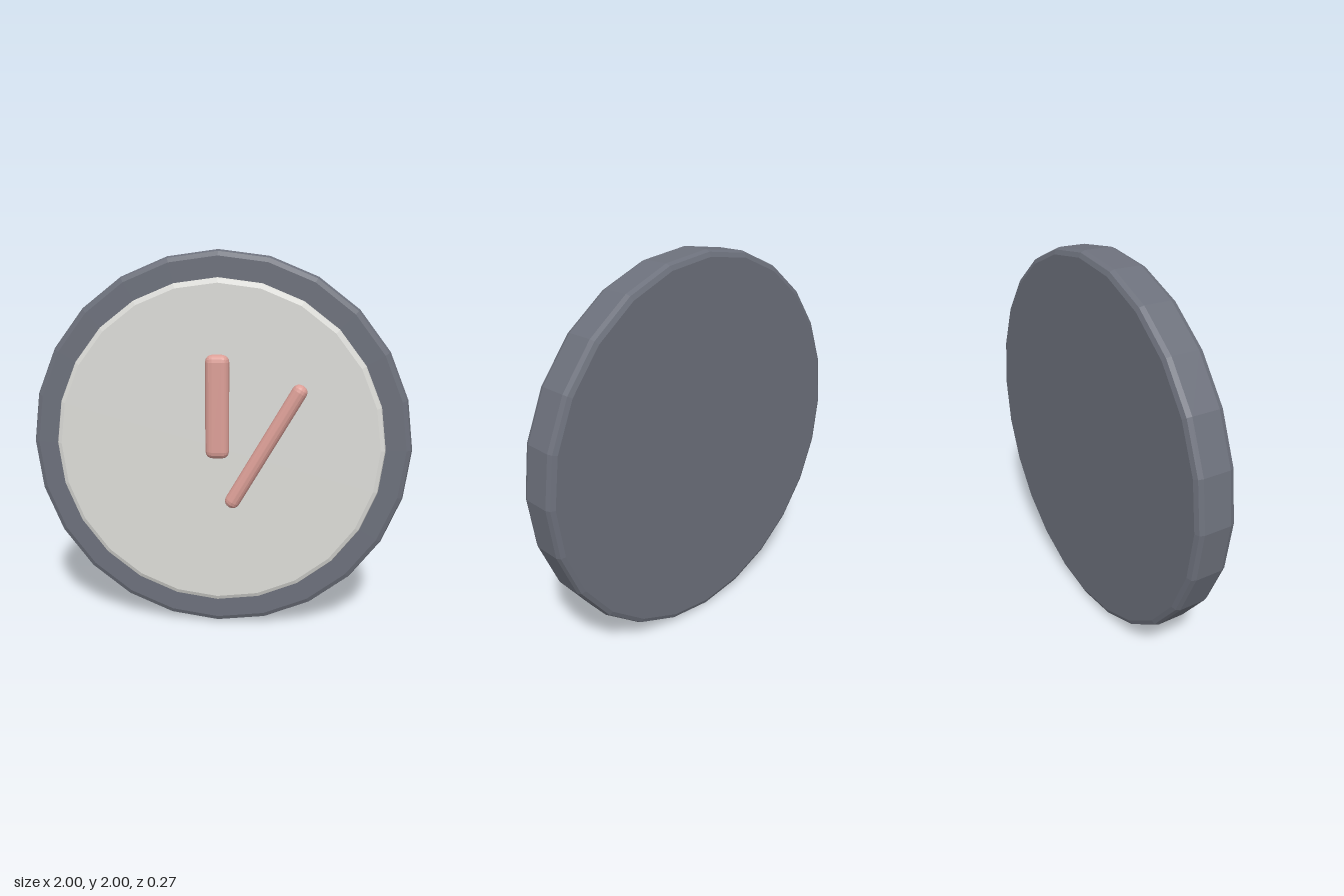
import * as THREE from 'three';
import { RoundedBoxGeometry } from 'three/addons/geometries/RoundedBoxGeometry.js';

const makeMaterial = (name, color) => {
  const material = new THREE.MeshStandardMaterial({ color, flatShading: true });
  material.name = name;
  return material;
};

// 24-sided disc facing +z with bevelled edges
function disc(name, radius, back, front, bevel, material) {
  const k = bevel * 0.293;
  const profile = [
    [0, back], [radius - bevel, back], [radius - k, back + k], [radius, back + bevel],
    [radius, front - bevel], [radius - k, front - k], [radius - bevel, front], [0, front],
  ].map(([r, z]) => new THREE.Vector2(r, z));
  const geometry = new THREE.LatheGeometry(profile, 24);
  geometry.rotateX(Math.PI / 2);
  const mesh = new THREE.Mesh(geometry, material);
  mesh.name = name;
  mesh.position.y = 1;
  return mesh;
}

// Rounded bar lying on the dial
function hand(name, width, length, x, y, angle, material) {
  const mesh = new THREE.Mesh(new RoundedBoxGeometry(width, length, 0.08, 2, 0.038), material);
  mesh.name = name;
  mesh.position.set(x, y, 0.095);
  mesh.rotation.z = angle;
  return mesh;
}

export function createModel() {
  const slate = makeMaterial('slate grey', 0x6c707b);
  const cream = makeMaterial('pale grey', 0xdcdcd8);
  const pink = makeMaterial('dusty pink', 0xdc9f97);

  const clock = new THREE.Group();
  clock.name = 'wallClock';
  clock.add(
    disc('case', 1, -0.135, 0.07, 0.032, slate),
    disc('dial', 0.867, 0.0, 0.092, 0.03, cream),
    hand('hourHand', 0.124, 0.54, 0, 1.212, 0, pink),
    hand('minuteHand', 0.08, 0.752, 0.25, 1.005, -Math.PI / 6, pink),
  );
  return clock;
}
